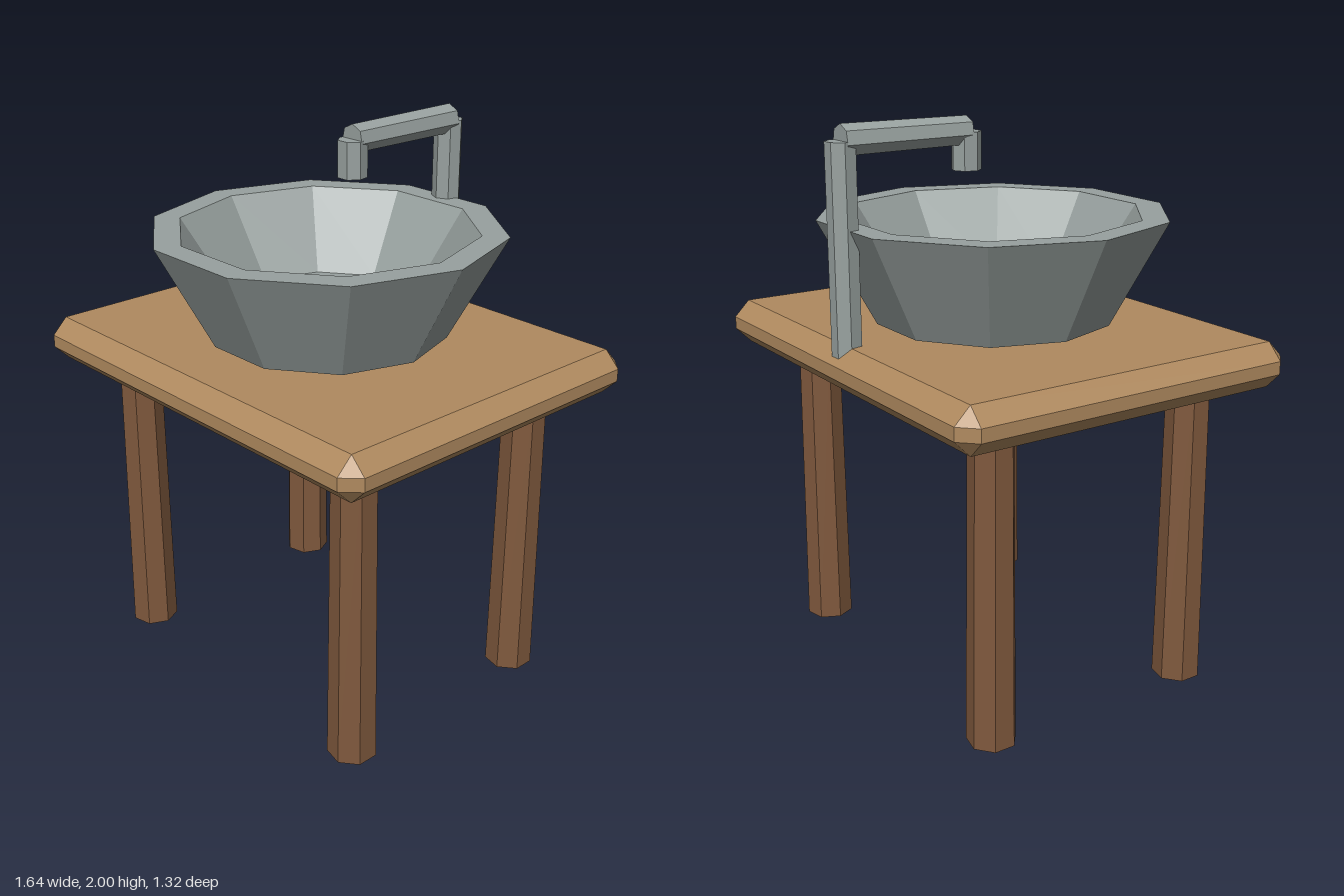
import * as THREE from 'three';
import { ConvexGeometry } from 'three/addons/geometries/ConvexGeometry.js';

function material(name, color) {
  const m = new THREE.MeshStandardMaterial({ color, flatShading: true });
  m.name = name;
  return m;
}

export function createModel() {
  const group = new THREE.Group();
  group.name = 'washstand';
  const lightWood = material('light wood', 0xb08a5f);
  const darkWood = material('dark wood', 0x80593d);
  const grey = material('grey metal', 0x98a19f);

  const add = (name, geometry, mat, x = 0, y = 0, z = 0) => {
    const mesh = new THREE.Mesh(geometry, mat);
    mesh.name = name;
    mesh.position.set(x, y, z);
    group.add(mesh);
    return mesh;
  };

  // Seven-sided bar with one corner pointing along the given angle from +z
  const bar = (rTop, rBottom, length, angle) =>
    new THREE.CylinderGeometry(rTop, rBottom, length, 7, 1, false, angle);

  // Table top: slab with every edge and corner chamfered
  const half = [0.82, 0.08, 0.66];
  const bevel = 0.057;
  const points = [];
  for (const sx of [-1, 1]) for (const sy of [-1, 1]) for (const sz of [-1, 1])
    for (let axis = 0; axis < 3; axis++) {
      const [x, y, z] = half.map((h, i) => (i === axis ? h : h - bevel));
      points.push(new THREE.Vector3(sx * x, sy * y, sz * z));
    }
  add('tableTop', new ConvexGeometry(points), lightWood, 0, 1.19, 0);

  // Four tapered legs, a corner of each pointing inward
  for (const side of [-1, 1]) for (const z of [0.415, -0.405])
    add('leg', bar(0.077, 0.087, 1.12, -side * Math.PI / 2), darkWood, side * 0.58, 0.56, z);

  // Ten-sided basin, with outer wall, rim and hollow
  const profile = [[0, 1.285], [0.424, 1.285], [0.625, 1.66], [0.53, 1.66], [0.345, 1.38], [0, 1.38]]
    .map(([r, y]) => new THREE.Vector2(r, y));
  add('basin', new THREE.LatheGeometry(profile, 10, Math.PI / 2), grey);

  // Tap: post, arm and spout
  add('tapPost', bar(0.053, 0.053, 0.735, 0), grey, 0, 1.5775, -0.592);
  add('tapArm', bar(0.053, 0.05, 0.48, 0), grey, 0, 1.947, -0.352).rotation.x = -Math.PI / 2;
  add('tapSpout', bar(0.053, 0.053, 0.13, Math.PI), grey, 0, 1.88, -0.114);

  return group;
}
